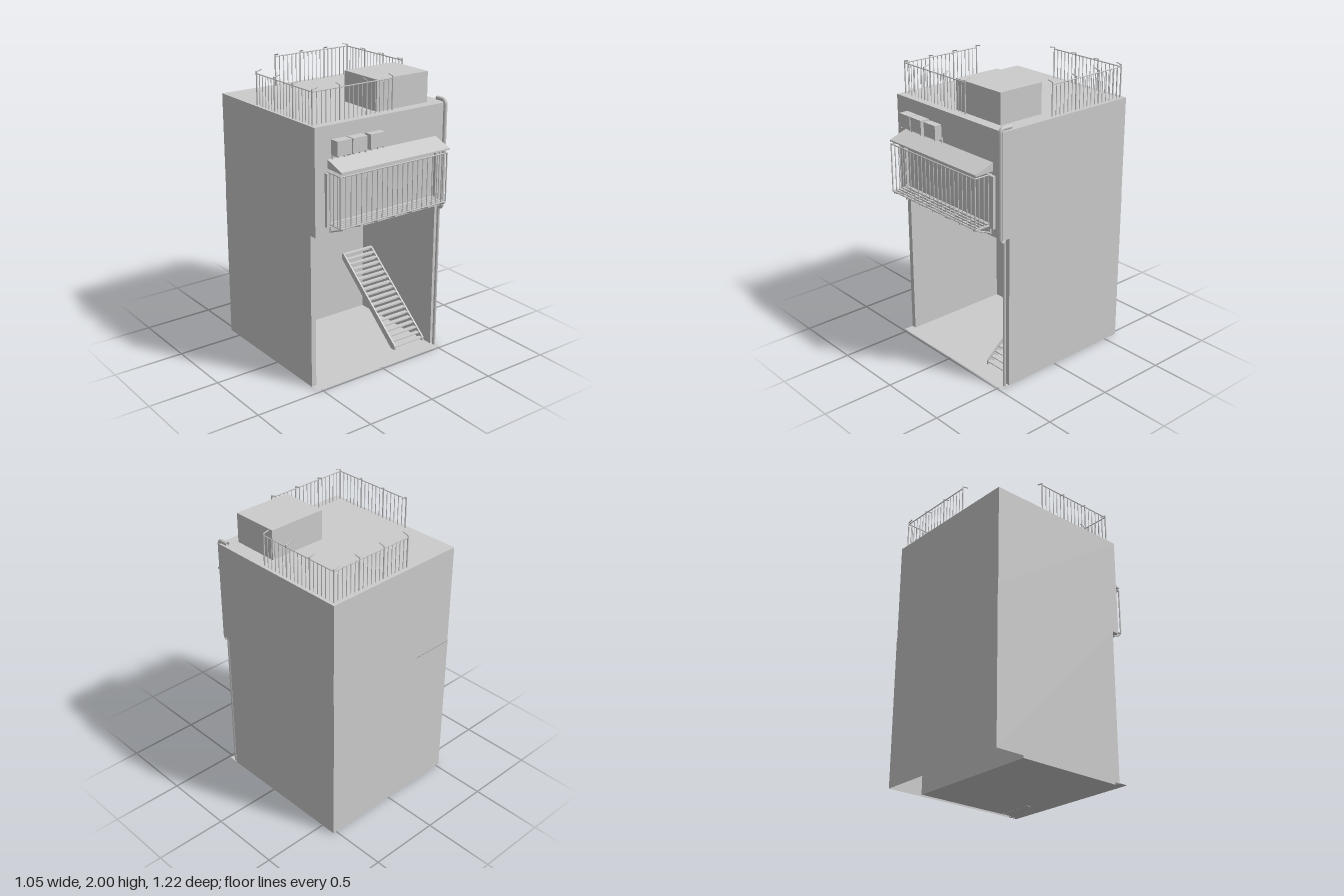
import * as THREE from 'three';

const mat = new THREE.MeshStandardMaterial({ color: 0xcccccc });
const thin = new THREE.MeshStandardMaterial({ color: 0xcccccc, side: THREE.DoubleSide });

function add(parent, name, geometry, material = mat) {
  const mesh = new THREE.Mesh(geometry, material);
  mesh.name = name;
  parent.add(mesh);
  return mesh;
}

function group(parent, name) {
  const g = new THREE.Group();
  g.name = name;
  parent.add(g);
  return g;
}

// Box given by its two extreme corners
function box(parent, name, [x0, y0, z0], [x1, y1, z1]) {
  const mesh = add(parent, name, new THREE.BoxGeometry(x1 - x0, y1 - y0, z1 - z0));
  mesh.position.set((x0 + x1) / 2, (y0 + y1) / 2, (z0 + z1) / 2);
  return mesh;
}

// Flat sheet: four corners in order around the edge
function sheet(parent, name, a, b, c, d) {
  const g = new THREE.BufferGeometry();
  g.setAttribute('position', new THREE.Float32BufferAttribute([...a, ...b, ...c, ...d], 3));
  g.setIndex([0, 1, 2, 0, 2, 3]);
  g.computeVertexNormals();
  return add(parent, name, g, thin);
}

// Straight round bar between two points
function rod(parent, name, from, to, r = 0.003) {
  const a = new THREE.Vector3(...from), b = new THREE.Vector3(...to);
  const dir = b.clone().sub(a);
  const mesh = add(parent, name, new THREE.CylinderGeometry(r, r, dir.length(), 6));
  mesh.position.copy(a).add(b).multiplyScalar(0.5);
  mesh.quaternion.setFromUnitVectors(new THREE.Vector3(0, 1, 0), dir.normalize());
  return mesh;
}

// Side profile in (z, y), extruded along x from x0 to x1
function sideProfile(parent, name, points, x0, x1) {
  const shape = new THREE.Shape(points.map(([z, y]) => new THREE.Vector2(-z, y)));
  const g = new THREE.ExtrudeGeometry(shape, { depth: x1 - x0, bevelEnabled: false });
  g.rotateY(Math.PI / 2);
  g.translate(x0, 0, 0);
  return add(parent, name, g);
}

const L = -0.53, R = 0.525, BACK = -0.605, FRONT = 0.468, MID = 1.065, ROOF = 1.77;

function buildShell(root) {
  box(root, 'upperStorey', [L, MID, BACK], [R, ROOF, FRONT]);
  box(root, 'roofHut', [0, ROOF, 0.055], [0.418, 1.975, 0.393]);

  // Hollow ground floor: outer walls, inner walls, front returns
  const g = group(root, 'groundFloor');
  const zf = 0.415, zb = -0.608, zi = -0.37, xi = 0.495;
  const wall = (name, x0, z0, x1, z1) =>
    sheet(g, name, [x0, 0, z0], [x1, 0, z1], [x1, MID, z1], [x0, MID, z0]);
  wall('outerBackWall', R, zb, L, zb);
  wall('innerBackWall', -xi, zi, xi, zi);
  for (const [outer, inner] of [[L, -xi], [R, xi]]) {
    wall('outerSideWall', outer, zb, outer, zf);
    wall('innerSideWall', inner, zi, inner, zf);
    wall('frontReturn', outer, zf, inner, zf);
  }
  sheet(g, 'floor', [-xi, 0.002, zf], [xi, 0.002, zf], [xi, 0.002, zi], [-xi, 0.002, zi]);
  sheet(g, 'threshold', [L, 0.002, 0.485], [R, 0.002, 0.485], [R, 0.002, zf], [L, 0.002, zf]);
}

function buildStairs(root) {
  const g = group(root, 'stairs');
  const steps = 19, rise = 0.53 / steps, run = 0.62 / steps, z0 = 0.35;
  for (let i = 0; i < steps; i++) {
    const y = i * rise, z = z0 - i * run;
    box(g, 'tread', [0.237, y + rise - 0.006, z - run], [0.478, y + rise, z]);
    box(g, 'riser', [0.237, y, z - run], [0.478, y + rise - 0.006, z - run + 0.004]);
  }
  for (const x of [0.225, 0.478]) {
    sideProfile(g, 'stringer', [[z0, 0], [z0, 0.03], [z0 - 0.6, 0.53], [z0 - 0.62, 0.53],
      [z0 - 0.62, 0.49], [z0 - 0.04, 0]], x, x + 0.012);
  }
}

// One straight run of roof railing with hooked posts every third of its length
function railing(parent, name, [x0, z0], [x1, z1], [hx, hz], firstPost = 0) {
  const g = group(parent, name);
  const top = 1.975, n = 18;
  rod(g, 'topRail', [x0, top, z0], [x1, top, z1], 0.004);
  for (let i = 0; i <= n; i++) {
    const x = x0 + (x1 - x0) * i / n, z = z0 + (z1 - z0) * i / n;
    const post = i % 6 === 0;
    if (i === 0 && firstPost) continue;
    rod(g, post ? 'post' : 'bar', [x, ROOF, z], [x, post ? 1.99 : top, z], post ? 0.005 : 0.0028);
    if (post) rod(g, 'postHook', [x, 1.988, z], [x + hx * 0.04, 1.997, z + hz * 0.04], 0.004);
  }
}

function buildRailings(root) {
  const g = group(root, 'roofRailings');
  railing(g, 'rightRailing', [-0.507, 0.413], [-0.507, -0.2], [1, 0]);
  railing(g, 'frontRailing', [-0.507, 0.413], [0.11, 0.413], [0, -1], 1);
  railing(g, 'leftRailing', [0.498, -0.575], [0.498, 0.04], [-1, 0]);
  railing(g, 'backRailing', [0.498, -0.575], [-0.12, -0.575], [0, 1], 1);
}

function buildWindow(root) {
  const g = group(root, 'barredWindow');
  // Casing around the opening
  box(g, 'casingSide', [-0.457, 1.125, FRONT], [-0.432, 1.475, 0.49]);
  box(g, 'casingSide', [0.425, 1.125, FRONT], [0.457, 1.475, 0.49]);
  box(g, 'casingTop', [-0.457, 1.455, FRONT], [0.457, 1.475, 0.48]);
  box(g, 'casingSill', [-0.457, 1.125, FRONT], [0.457, 1.145, 0.48]);

  // Bar cage
  const x0 = -0.435, x1 = 0.42, zf = 0.6, y0 = 1.143, y1 = 1.477, n = 21;
  for (const y of [y0, y1]) {
    rod(g, 'cageRail', [x0, y, zf], [x1, y, zf], 0.005);
    for (const x of [x0, x1]) rod(g, 'cageSideRail', [x, y, FRONT], [x, y, zf], 0.005);
  }
  for (let i = 0; i <= n; i++) {
    const x = x0 + (x1 - x0) * i / n;
    rod(g, 'cageBar', [x, y0, zf], [x, y1, zf], i % n ? 0.0035 : 0.005);
  }
  for (const x of [x0, x1]) for (const z of [0.495, 0.53, 0.57])
    rod(g, 'cageSideBar', [x, y0, z], [x, y1, z], 0.0035);

  // Slatted cage floor on angled brackets
  for (const z of [0.49, 0.518, 0.546, 0.574])
    box(g, 'floorSlat', [x0, y0 - 0.004, z - 0.005], [x1, y0 + 0.004, z + 0.005]);
  for (let i = 0; i < 7; i++) {
    const x = -0.415 + i * 0.1375;
    box(g, 'bracketArm', [x - 0.006, y0 - 0.012, FRONT], [x + 0.006, y0 - 0.002, 0.605]);
    rod(g, 'bracketBrace', [x, 1.083, FRONT], [x, y0 - 0.008, 0.6], 0.005);
    box(g, 'bracketPlate', [x - 0.006, 1.078, FRONT], [x + 0.006, y0, FRONT + 0.01]);
  }

  // Sloping awning
  sideProfile(g, 'awning', [[FRONT, 1.5], [0.608, 1.497], [0.608, 1.507], [FRONT, 1.557]], -0.435, 0.435);
  for (const x of [-0.35, -0.18, -0.085, 0.085, 0.17, 0.34])
    rod(g, 'awningStay', [x, 1.475, 0.475], [x, 1.5, 0.56], 0.004);
}

function buildAirUnits(root) {
  const g = group(root, 'airUnits');
  for (const [x0, x1, z0, z1] of [[-0.413, -0.303, 0.474, 0.54], [-0.295, -0.185, 0.474, 0.54],
    [-0.157, -0.043, 0.485, 0.537]]) {
    const unit = group(g, 'airUnit');
    box(unit, 'unitCase', [x0, 1.59, z0], [x1, 1.682, z1]);
    for (const x of [x0 + 0.006, x1 - 0.012]) {
      box(unit, 'unitBracket', [x, 1.58, FRONT], [x + 0.006, 1.59, z1]);
      box(unit, 'unitLeg', [x, 1.54, FRONT], [x + 0.006, 1.59, FRONT + 0.012]);
    }
  }
}

function buildPipe(root) {
  // Drainpipe: over the roof edge, down the front, back under the overhang
  const x = 0.508, v = (y, z) => new THREE.Vector3(x, y, z);
  const path = new THREE.CurvePath();
  const line = (a, b) => path.add(new THREE.LineCurve3(a, b));
  const bend = (a, b, c) => path.add(new THREE.QuadraticBezierCurve3(a, b, c));
  line(v(1.787, 0.39), v(1.787, 0.445));
  bend(v(1.787, 0.445), v(1.787, 0.472), v(1.755, 0.472));
  line(v(1.755, 0.472), v(1.075, 0.472));
  bend(v(1.075, 0.472), v(1.045, 0.472), v(1.045, 0.45));
  const g = group(root, 'drainpipe');
  add(g, 'upperPipe', new THREE.TubeGeometry(path, 80, 0.014, 10), thin);
  rod(g, 'lowerPipe', [x, 0, 0.44], [x, 1.055, 0.44], 0.011);
}

export function createModel() {
  const root = new THREE.Group();
  root.name = 'building';
  buildShell(root);
  buildStairs(root);
  buildRailings(root);
  buildWindow(root);
  buildAirUnits(root);
  buildPipe(root);
  return root;
}
